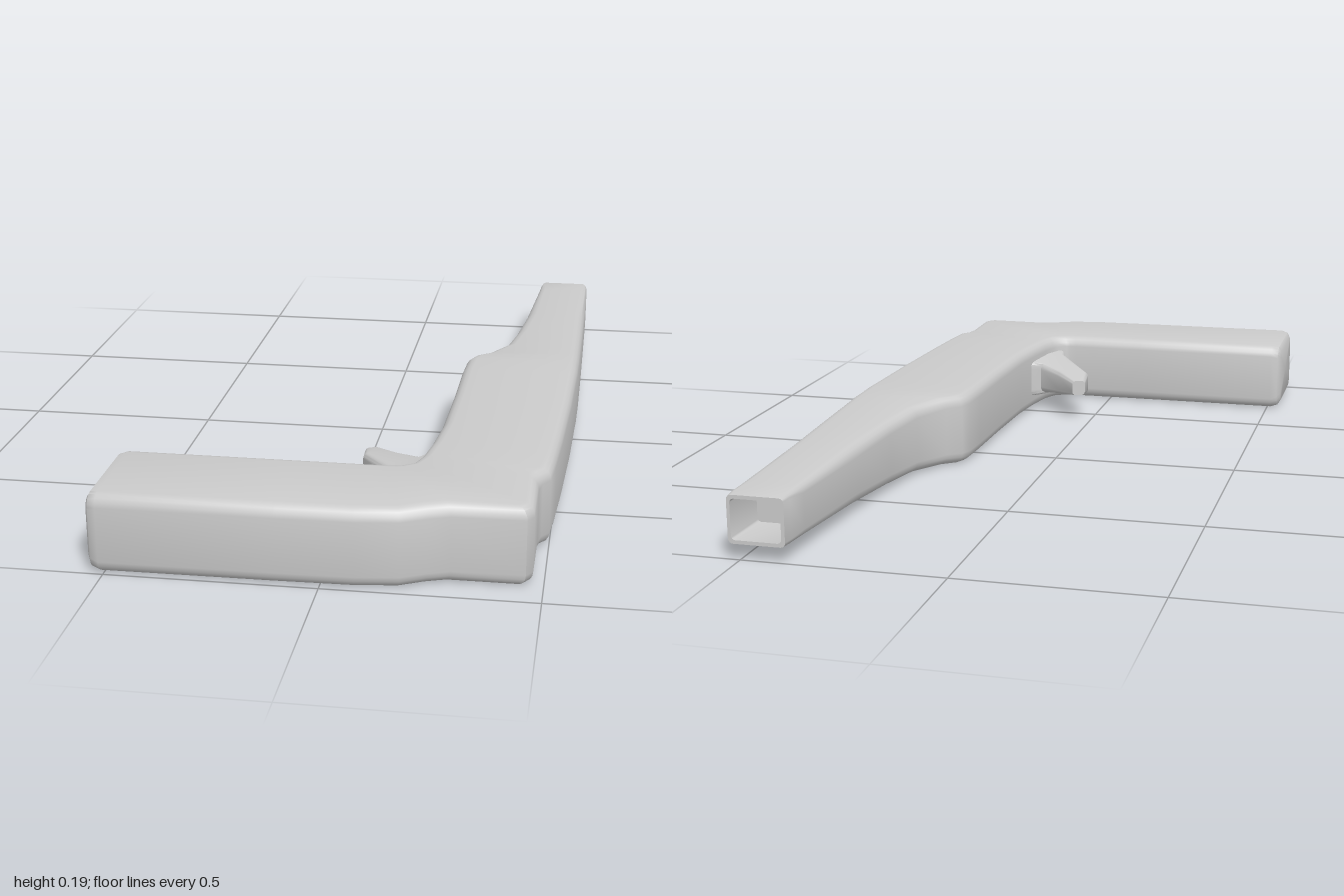
import * as THREE from 'three';
import { toCreasedNormals } from 'three/addons/utils/BufferGeometryUtils.js';

const MID = 0.097; // height of the centre plane
const STEPS = 4;   // segments per rounded corner

// Rounded rectangle standing on the line from (lx, lz) to (rx, rz), half height h
function ring([lx, lz, rx, rz, h, r]) {
  const w = Math.hypot(rx - lx, rz - lz);
  const rad = Math.min(r, w / 2.2, h * 0.9);
  const corners = [[rad, rad - h, Math.PI], [w - rad, rad - h, 1.5 * Math.PI],
    [w - rad, h - rad, 0], [rad, h - rad, 0.5 * Math.PI]];
  const pts = [];
  for (const [cu, cy, a0] of corners) {
    for (let k = 0; k <= STEPS; k++) {
      const a = a0 + (k / STEPS) * Math.PI / 2;
      const s = (cu + rad * Math.cos(a)) / w;
      pts.push([lx + (rx - lx) * s, MID + cy + rad * Math.sin(a), lz + (rz - lz) * s]);
    }
  }
  return pts;
}

// Closed skin over a row of sections, capped at both ends
function loft(sections, name) {
  const n = 4 * (STEPS + 1);
  const pos = [], idx = [];
  sections.forEach((s) => ring(s).forEach((p) => pos.push(...p)));
  const last = sections.length - 1;
  for (let i = 0; i < last; i++) {
    for (let j = 0; j < n; j++) {
      const k = (j + 1) % n;
      const a = i * n + j, b = i * n + k, c = a + n, d = b + n;
      idx.push(a, b, d, a, d, c);
    }
  }
  for (const [row, flip] of [[0, true], [last, false]]) {
    const [lx, lz, rx, rz] = sections[row];
    const centre = pos.length / 3;
    pos.push((lx + rx) / 2, MID, (lz + rz) / 2);
    for (let j = 0; j < n; j++) {
      const a = row * n + j, b = row * n + (j + 1) % n;
      idx.push(centre, flip ? b : a, flip ? a : b);
    }
  }
  const geo = new THREE.BufferGeometry();
  geo.setAttribute('position', new THREE.Float32BufferAttribute(pos, 3));
  geo.setIndex(idx);
  const mesh = new THREE.Mesh(toCreasedNormals(geo, 0.75),
    new THREE.MeshStandardMaterial({ color: 0xcccccc }));
  mesh.name = name;
  return mesh;
}

export function createModel() {
  const group = new THREE.Group();
  group.name = 'pistol';

  // Inner and outer edge, from the muzzle around the corner to the grip
  const edges = [
    [0.36, -0.6, 0.535, -0.6], [0.342, -0.4, 0.536, -0.4], [0.32, -0.25, 0.536, -0.25],
    [0.27, -0.15, 0.536, -0.16], [0.235, -0.12, 0.535, -0.1], [0.224, -0.09, 0.535, -0.06],
    [0.22, 0, 0.533, 0], [0.218, 0.2, 0.528, 0.2], [0.212, 0.42, 0.517, 0.45],
    [0.2, 0.54, 0.508, 0.6], [0.19, 0.6, 0.5, 0.69], [0.187, 0.62, 0.482, 0.715],
    [0.183, 0.64, 0.475, 0.75], [0.175, 0.665, 0.475, 0.905], [0.165, 0.685, 0.46, 0.928],
    [0.14, 0.7, 0.29, 0.932], [0.13, 0.702, 0.24, 0.95], [0.11, 0.703, 0.18, 0.98],
    [0.05, 0.703, 0.08, 0.993], [-0.1, 0.703, -0.1, 0.997], [-0.51, 0.703, -0.51, 1],
  ];
  const halfHeight = (z) => Math.min(MID, 0.06 + 0.037 * (z + 1) / 0.9);
  const body = [
    // square bore and muzzle rim
    [0.402, -0.86, 0.516, -0.86, 0.05, 0.01],
    [0.396, -1, 0.52, -1, 0.05, 0.01],
    [0.387, -1, 0.528, -1, 0.059, 0.012],
    [0.384, -0.97, 0.532, -0.97, 0.061, 0.014],
    [0.379, -0.9, 0.533, -0.9, 0.064, 0.02],
    ...edges.map((e) => [...e, halfHeight(e[1]), 0.03]),
    // rounded grip end
    [-0.53, 0.71, -0.53, 0.993, 0.092, 0.03],
    [-0.539, 0.727, -0.539, 0.976, 0.078, 0.025],
  ];
  group.add(loft(body, 'body'));

  // Trigger, widening from its tip into the inner corner
  const trigger = [
    [0.02, 0.44, 0.055, 0.425, 0.022, 0.01],
    [0.025, 0.505, 0.115, 0.485, 0.034, 0.014],
    [0.09, 0.6, 0.18, 0.527, 0.045, 0.018],
    [0.135, 0.665, 0.205, 0.5, 0.052, 0.02],
    [0.15, 0.72, 0.24, 0.5, 0.055, 0.02],
  ];
  group.add(loft(trigger, 'trigger'));

  return group;
}
